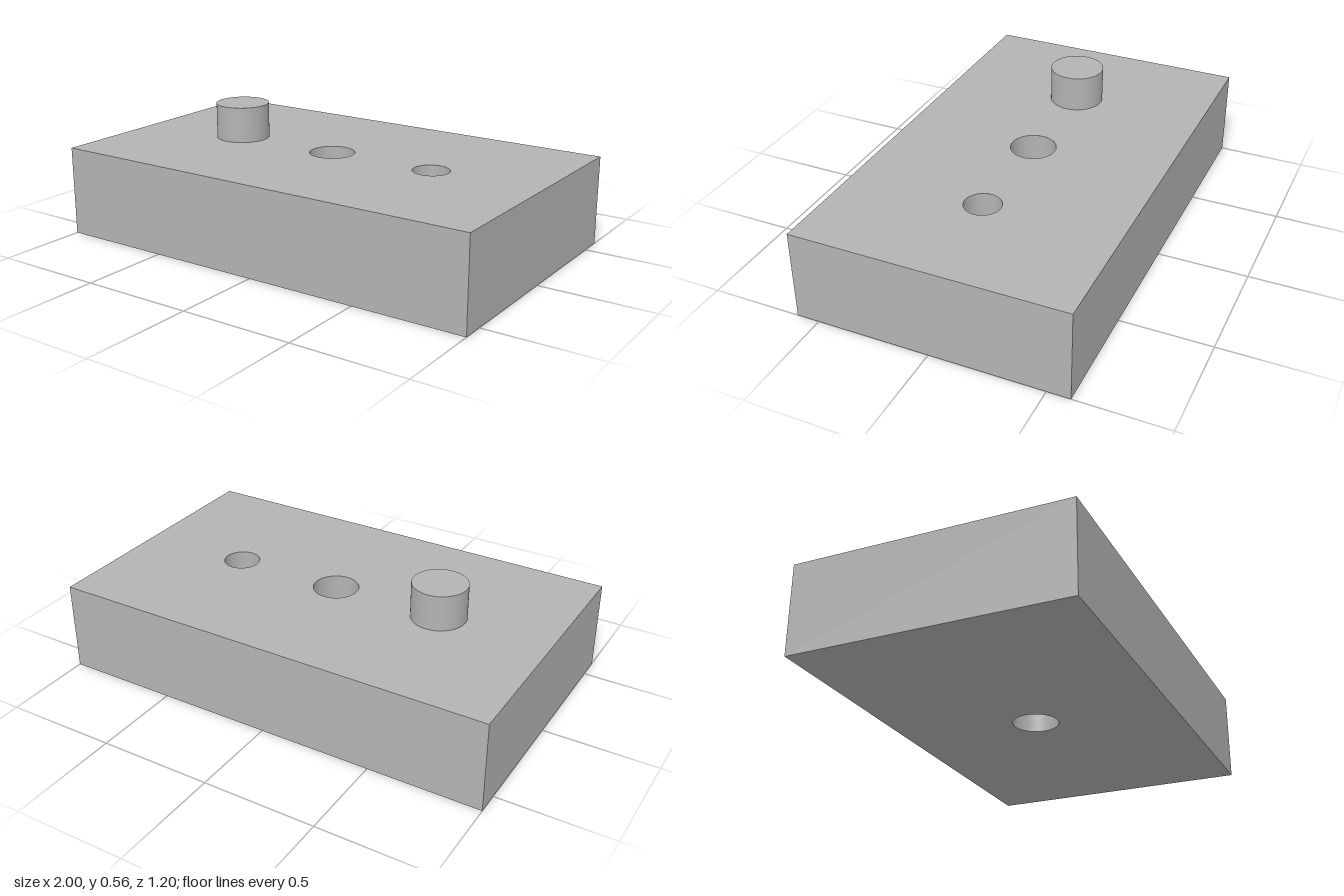
import * as THREE from 'three';

const SEGMENTS = 64;
const WIDTH = 2, DEPTH = 1.2, HEIGHT = 0.4;
const through = { x: 0, r: 0.1 };
const blind = { x: 0.5, r: 0.08, floor: 0.16 };
const boss = { x: -0.5, r: 0.12, h: 0.16 };

export function createModel() {
  const model = new THREE.Group();
  model.name = 'drilledBlock';
  const grey = new THREE.MeshStandardMaterial({ color: 0xb3b3b3 });
  grey.name = 'grey';

  const add = (name, geometry, x = 0, y = 0) => {
    const mesh = new THREE.Mesh(geometry, grey);
    mesh.name = name;
    mesh.position.set(x, y, 0);
    model.add(mesh);
    return mesh;
  };

  // Rectangular face pierced by round holes, turned to face up or down
  const piercedFace = (holes, turn) => {
    const w = WIDTH / 2, d = DEPTH / 2;
    const shape = new THREE.Shape([[-w, -d], [w, -d], [w, d], [-w, d]].map(p => new THREE.Vector2(...p)));
    for (const { x, r } of holes) {
      shape.holes.push(new THREE.Path().absarc(x, 0, r, 0, Math.PI * 2, true));
    }
    return new THREE.ShapeGeometry(shape, SEGMENTS).rotateX(turn);
  };

  // Bore wall: the profile runs downward so that the surface faces inward
  const bore = (r, top, bottom) => new THREE.LatheGeometry(
    [new THREE.Vector2(r, top), new THREE.Vector2(r, bottom)], SEGMENTS);

  // Block faces
  add('blockTop', piercedFace([through, blind], -Math.PI / 2), 0, HEIGHT);
  add('blockBottom', piercedFace([through], Math.PI / 2));
  for (const [name, w, x, z, turn] of [
    ['blockFront', WIDTH, 0, DEPTH / 2, 0],
    ['blockLeft', DEPTH, WIDTH / 2, 0, Math.PI / 2],
    ['blockBack', WIDTH, 0, -DEPTH / 2, Math.PI],
    ['blockRight', DEPTH, -WIDTH / 2, 0, -Math.PI / 2],
  ]) {
    const side = add(name, new THREE.PlaneGeometry(w, HEIGHT).rotateY(turn), x, HEIGHT / 2);
    side.position.z = z;
  }

  // Through hole and blind hole
  add('throughHole', bore(through.r, HEIGHT, 0), through.x);
  add('blindHole', bore(blind.r, HEIGHT, blind.floor), blind.x);
  add('blindHoleFloor', new THREE.CircleGeometry(blind.r, SEGMENTS).rotateX(-Math.PI / 2), blind.x, blind.floor);

  // Round boss
  add('boss', new THREE.CylinderGeometry(boss.r, boss.r, boss.h, SEGMENTS), boss.x, HEIGHT + boss.h / 2);

  return model;
}
